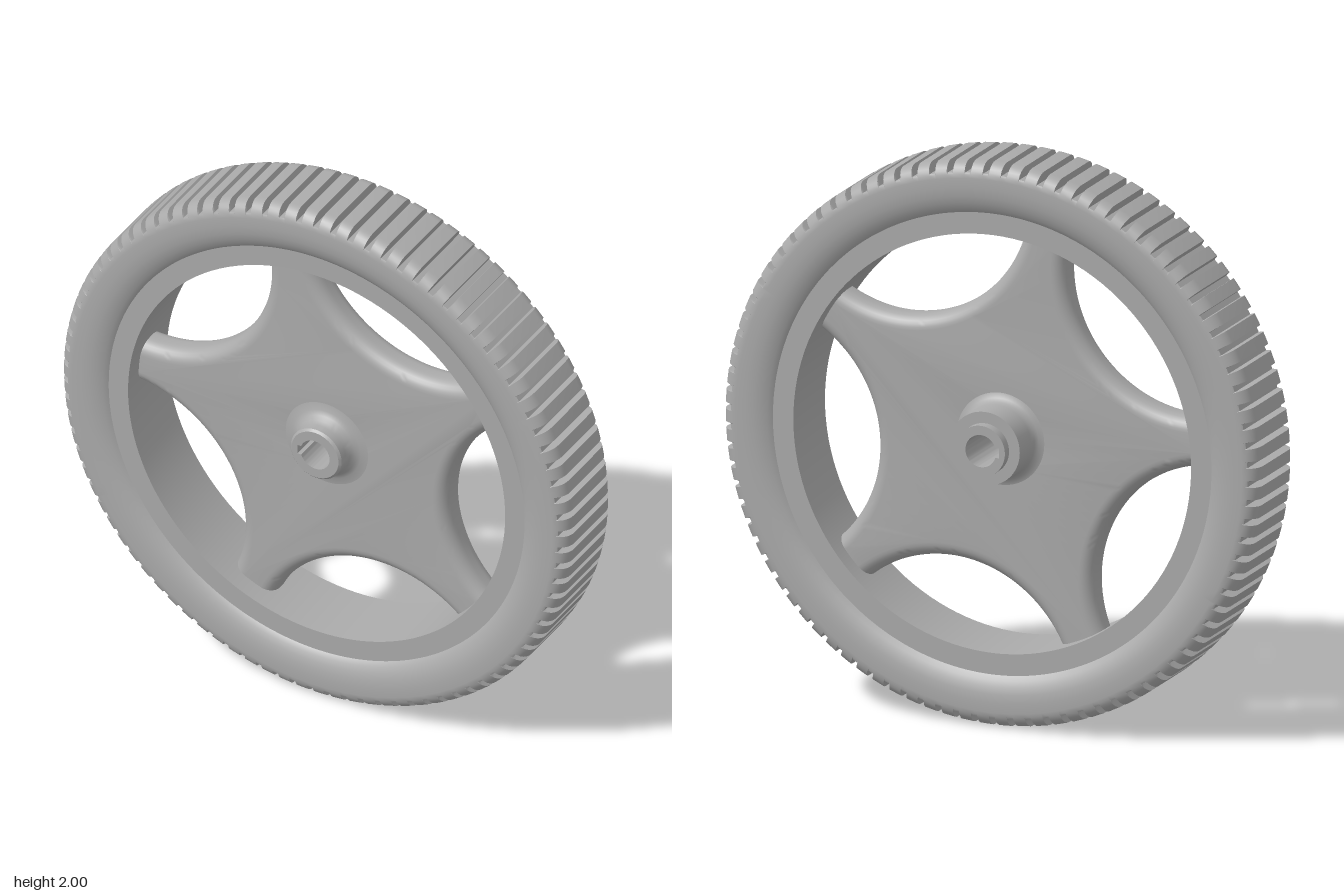
import * as THREE from 'three';
import { toCreasedNormals } from 'three/addons/utils/BufferGeometryUtils.js';

const MID = 0.0275; // z of the wheel's middle plane
const rad = THREE.MathUtils.degToRad;
const vec = (list) => list.map(([r, z]) => new THREE.Vector2(r, z));

// Ribbed tyre: a lathe whose rings alternate between rib and groove
function tyreGeometry() {
  const ribs = 90, ribShare = 0.64, grooveRadius = 0.964;
  const half = [[0.79, 0.1], [0.82, 0.134], [0.835, 0.144], [0.855, 0.153], [0.88, 0.16], [0.91, 0.1625]];
  for (let i = 0; i <= 7; i++) {
    const a = (i / 7) * Math.PI / 2;
    half.push([0.945 + 0.055 * Math.sin(a), 0.1075 + 0.055 * Math.cos(a)]);
  }
  const profile = vec([...half.map(([r, z]) => [r, -z]), ...half.slice().reverse()]);
  const geo = new THREE.LatheGeometry(profile, ribs * 4);
  const pos = geo.attributes.position;
  const step = (Math.PI * 2) / ribs;
  const offsets = [0, ribShare, ribShare + 0.03, 0.97];
  for (let v = 0; v < pos.count; v++) {
    const ring = Math.floor(v / profile.length);
    const p = profile[v % profile.length];
    const a = (Math.floor(ring / 4) + offsets[ring % 4]) * step;
    const r = ring % 4 < 2 ? p.x : Math.min(p.x, grooveRadius);
    pos.setXYZ(v, r * Math.sin(a), p.y, r * Math.cos(a));
  }
  return toCreasedNormals(geo.rotateX(Math.PI / 2), rad(35));
}

function latheZ(points, segments) {
  return toCreasedNormals(new THREE.LatheGeometry(vec(points), segments).rotateX(Math.PI / 2), rad(35));
}

// Five-armed star with round scoops between the arms and softened edges
function starGeometry() {
  const shape = new THREE.Shape();
  const sweep = rad(121.1);
  for (let k = 0; k < 5; k++) {
    const c = rad(66.6 + 72 * k);
    shape.absarc(0.934 * Math.cos(c), 0.934 * Math.sin(c), 0.464, c - sweep, c + sweep, true);
  }
  const bore = new THREE.Path();
  bore.absarc(0, 0, 0.03, 0, Math.PI * 2, true);
  shape.holes.push(bore);
  const bevel = 0.05, half = 0.062;
  const geo = new THREE.ExtrudeGeometry(shape, {
    depth: 2 * (half - bevel), curveSegments: 32,
    bevelEnabled: true, bevelSize: bevel, bevelOffset: -bevel, bevelThickness: bevel, bevelSegments: 7,
  });
  geo.translate(0, 0, bevel - half);
  return toCreasedNormals(geo, rad(35));
}

// Bore liner with a keyway slot on one side
function linerGeometry() {
  const shape = new THREE.Shape();
  shape.absarc(0, 0, 0.078, 0, Math.PI * 2, false);
  const r = 0.057, a = rad(18), hole = new THREE.Path();
  hole.absarc(0, 0, r, Math.PI - a, Math.PI + a, true);
  hole.lineTo(-0.069, -r * Math.sin(a));
  hole.lineTo(-0.069, r * Math.sin(a));
  hole.closePath();
  shape.holes.push(hole);
  const geo = new THREE.ExtrudeGeometry(shape, { depth: 0.37, bevelEnabled: false, curveSegments: 32 });
  return toCreasedNormals(geo.translate(0, 0, -0.2), rad(35));
}

export function createModel() {
  const wheel = new THREE.Group();
  wheel.name = 'wheel';
  const grey = new THREE.MeshStandardMaterial({ color: 0xaaaaaa });
  grey.name = 'grey';

  const add = (name, geo, z) => {
    const mesh = new THREE.Mesh(geo, grey);
    mesh.name = name;
    mesh.position.set(0, 1, z);
    wheel.add(mesh);
  };

  add('tyre', tyreGeometry(), MID);

  // Flat-faced rim inside the tyre
  add('rim', latheZ([[0.742, -0.132], [0.822, -0.132], [0.822, 0.132], [0.742, 0.132], [0.742, -0.132]], 128), MID);

  // The star's middle is opened by its hole
  add('spokeStar', openCentre(starGeometry()), MID);

  // Hub: stepped at the back, filleted into the star on both sides
  add('hub', latheZ([
    [0.074, -0.2], [0.09, -0.2], [0.09, -0.165], [0.13, -0.165], [0.13, -0.07],
    [0.134, -0.052], [0.145, -0.04], [0.165, -0.034], [0.165, 0.089],
    [0.135, 0.094], [0.118, 0.103], [0.106, 0.117], [0.1, 0.135],
    [0.1, 0.162], [0.092, 0.17], [0.074, 0.17], [0.074, -0.2],
  ], 64), 0);

  add('boreLiner', linerGeometry(), 0);
  return wheel;
}

// Widens the star's central hole so that the bore stays clear inside the hub
function openCentre(geo) {
  const pos = geo.attributes.position;
  for (let i = 0; i < pos.count; i++) {
    const r = Math.hypot(pos.getX(i), pos.getY(i));
    if (r < 0.15) {
      pos.setX(i, pos.getX(i) * 0.1 / r);
      pos.setY(i, pos.getY(i) * 0.1 / r);
    }
  }
  return geo;
}
